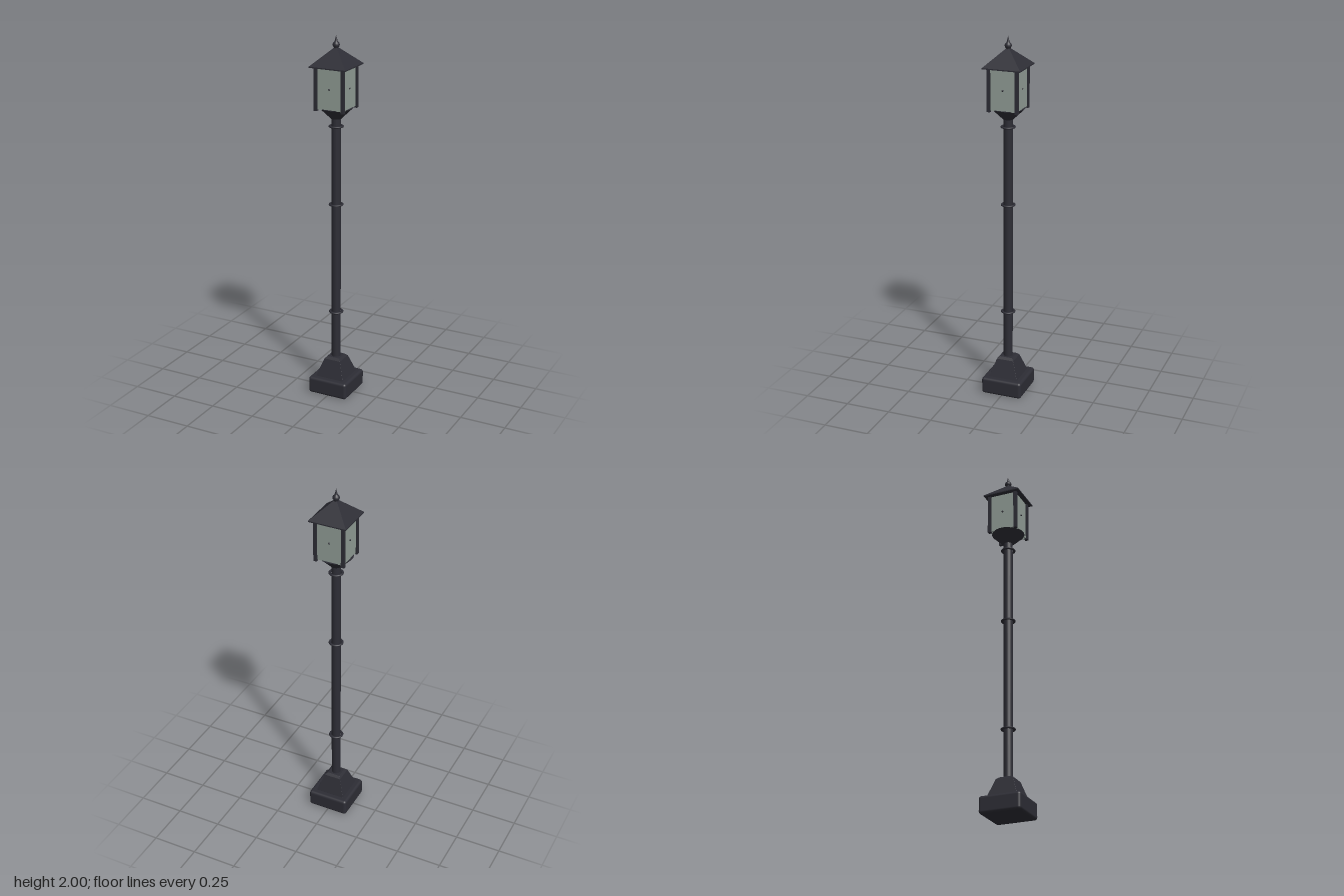
import * as THREE from 'three';
import { RoundedBoxGeometry } from 'three/addons/geometries/RoundedBoxGeometry.js';

const iron = new THREE.MeshStandardMaterial({ color: 0x2d2d35 });
iron.name = 'dark iron';
const glass = new THREE.MeshStandardMaterial({ color: 0x919d96 });
glass.name = 'frosted glass';

const vec = (points) => points.map(([x, y]) => new THREE.Vector2(x, y));

// Four-sided frustum with flat faces, given half-widths and heights
function frustum(bottom, top, y0, y1) {
  const g = new THREE.CylinderGeometry(top * Math.SQRT2, bottom * Math.SQRT2, y1 - y0, 4)
    .toNonIndexed();
  g.rotateY(Math.PI / 4);
  g.translate(0, (y0 + y1) / 2, 0);
  g.computeVertexNormals();
  return g;
}

export function createModel() {
  const model = new THREE.Group();
  model.name = 'streetLamp';

  function add(name, geometry, material, x = 0, y = 0, z = 0, parent = model) {
    const mesh = new THREE.Mesh(geometry, material);
    mesh.name = name;
    mesh.position.set(x, y, z);
    parent.add(mesh);
    return mesh;
  }

  // Pedestal: rounded block, tapered plinth with rounded corners
  add('baseBlock', new RoundedBoxGeometry(0.23, 0.094, 0.23, 4, 0.015), iron, 0, 0.047, 0);
  const plinth = new RoundedBoxGeometry(2, 0.12, 2, 4, 0.012);
  const p = plinth.attributes.position;
  for (let i = 0; i < p.count; i++) {
    // narrow the block towards its top
    const t = (p.getY(i) + 0.06) / 0.12;
    const half = THREE.MathUtils.lerp(0.086, 0.044, t) - 0.008 * Math.max(0, (t - 0.9) / 0.1);
    p.setX(i, p.getX(i) * half);
    p.setZ(i, p.getZ(i) * half);
  }
  plinth.computeVertexNormals();
  add('plinth', plinth, iron, 0, 0.144, 0);

  // Pole with three collars
  add('pole', new THREE.CylinderGeometry(0.025, 0.025, 1.39, 32), iron, 0, 0.885, 0);
  for (const y of [0.47, 1.09, 1.52]) {
    const ring = new THREE.TorusGeometry(0.033, 0.007, 10, 32);
    ring.rotateX(Math.PI / 2);
    ring.scale(1, 0.75, 1);
    add('collar', ring, iron, 0, y, 0);
  }

  // Round cup that carries the lantern
  add('lanternCup', new THREE.CylinderGeometry(0.09, 0.028, 0.06, 40), iron, 0, 1.592, 0);

  // Lantern: one pane, knob and corner post per side
  for (let i = 0; i < 4; i++) {
    const side = new THREE.Group();
    side.name = 'lanternSide';
    side.rotation.y = i * Math.PI / 2;
    model.add(side);
    add('pane', new THREE.BoxGeometry(0.142, 0.222, 0.006), glass, 0, 1.731, 0.074, side);
    add('knob', new THREE.SphereGeometry(0.005, 12, 8), iron, 0, 1.73, 0.078, side);
    add('cornerPost', new THREE.BoxGeometry(0.018, 0.232, 0.018), iron, 0.077, 1.728, 0.077, side);
  }

  // Pyramid roof with a thin eave
  add('eave', new THREE.BoxGeometry(0.208, 0.006, 0.208), iron, 0, 1.842, 0);
  add('roof', frustum(0.104, 0.008, 1.845, 1.935), iron);

  // Turned finial
  const profile = vec([
    [0.014, 1.922], [0.012, 1.932], [0.012, 1.936], [0.017, 1.942], [0.019, 1.95],
    [0.016, 1.959], [0.009, 1.965], [0.007, 1.97], [0.004, 1.983], [0, 2],
  ]);
  add('finial', new THREE.LatheGeometry(profile, 24), iron);

  return model;
}
